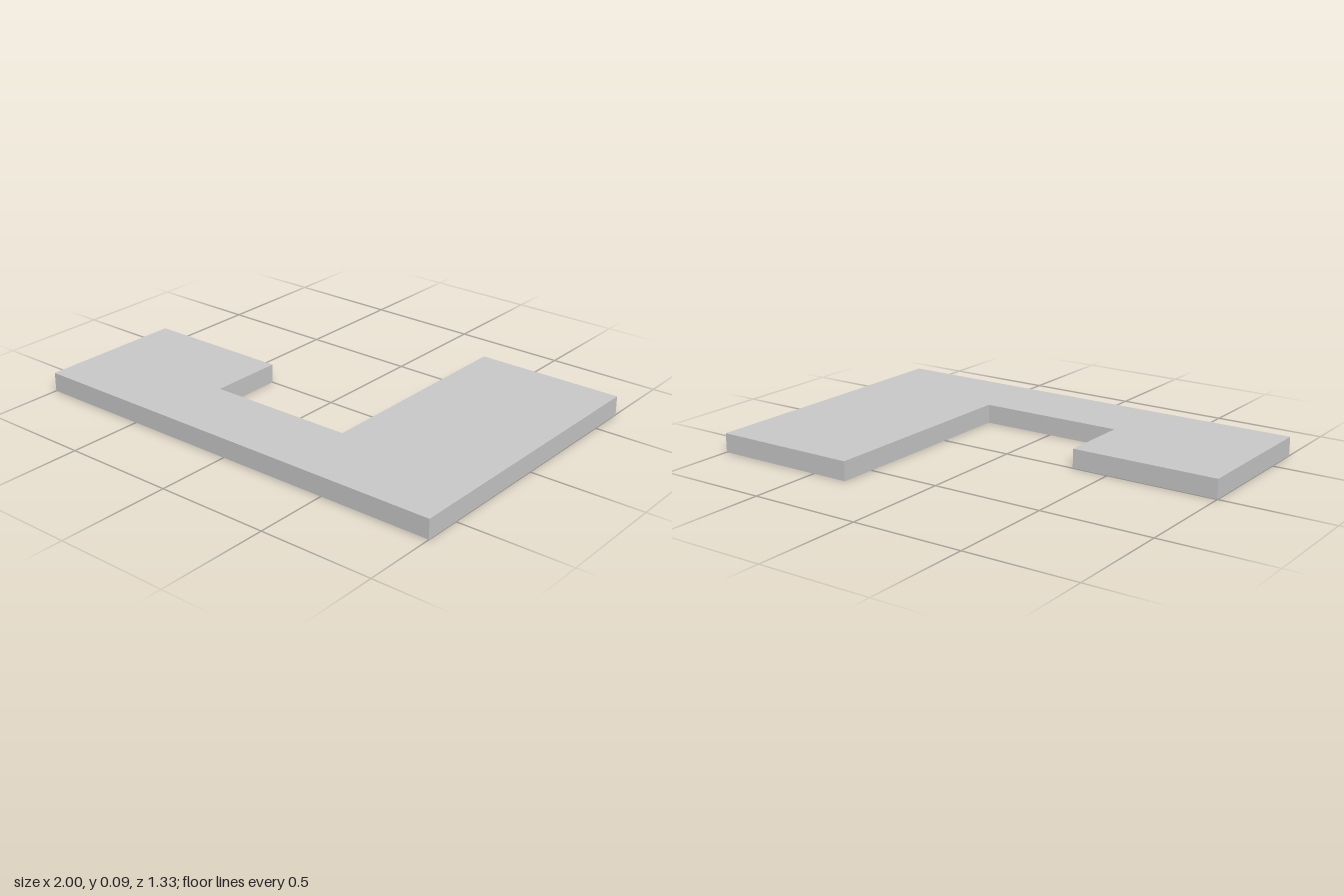
import * as THREE from 'three';

const HEIGHT = 0.085;
const FRONT = 0.667; // shared front edge

export function createModel() {
  const group = new THREE.Group();
  const material = new THREE.MeshStandardMaterial({ color: 0xcccccc, flatShading: true });

  // A flat slab spanning x0..x1, running back from the front edge to zBack
  const addSlab = (name, x0, x1, zBack) => {
    const depth = FRONT - zBack;
    const slab = new THREE.Mesh(new THREE.BoxGeometry(x1 - x0, HEIGHT, depth), material);
    slab.name = name;
    slab.position.set((x0 + x1) / 2, HEIGHT / 2, zBack + depth / 2);
    group.add(slab);
  };

  addSlab('rightSquareSlab', -1, -0.333, 0);
  addSlab('connectingSlab', -0.333, 0.333, 0.333);
  addSlab('leftLongSlab', 0.333, 1, -0.667);

  return group;
}
